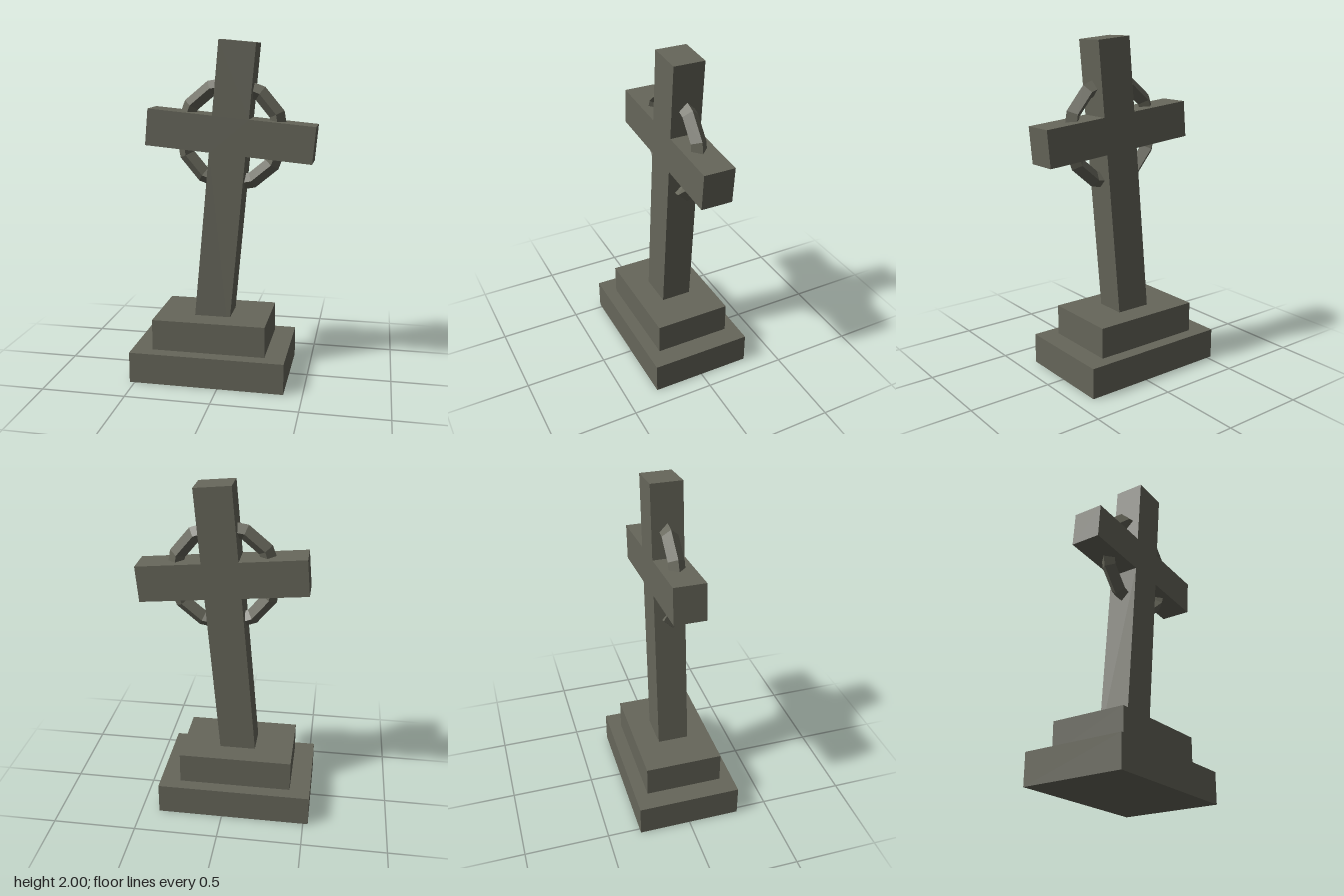
import * as THREE from 'three';

export function createModel() {
  const model = new THREE.Group();
  model.name = 'leaningStoneCross';
  const stone = new THREE.MeshStandardMaterial({ color: 0x66665a, flatShading: true });
  stone.name = 'weathered stone';

  const add = (parent, name, geometry, x = 0, y = 0, z = 0) => {
    const mesh = new THREE.Mesh(geometry, stone);
    mesh.name = name;
    mesh.position.set(x, y, z);
    parent.add(mesh);
    return mesh;
  };

  // Two-step plinth
  const stepHeight = 0.185;
  add(model, 'lowerStep', new THREE.BoxGeometry(0.92, stepHeight, 0.614), -0.07, stepHeight / 2);
  add(model, 'upperStep', new THREE.BoxGeometry(0.675, stepHeight, 0.46), -0.07, stepHeight * 1.5);

  // Leaning cross, pivoted where shaft and arms meet
  const cross = new THREE.Group();
  cross.name = 'cross';
  cross.position.set(0.0285, 1.4575, 0);
  cross.rotation.z = -0.09;
  model.add(cross);

  // Shaft and arms cut from one slab; the foot is sunk into the plinth
  const half = 0.107, reach = 0.49, top = 0.535, foot = -1.2, depth = 0.184;
  const outline = new THREE.Shape([
    [-half, foot], [half, foot], [half, -half], [reach, -half], [reach, half], [half, half],
    [half, top], [-half, top], [-half, half], [-reach, half], [-reach, -half], [-half, -half],
  ].map(([x, y]) => new THREE.Vector2(x, y)));
  const slab = new THREE.ExtrudeGeometry(outline, { depth, bevelEnabled: false });
  add(cross, 'shaftAndArms', slab, 0, 0, -depth / 2);

  // Twelve-sided ring with a diamond section
  add(cross, 'ring', new THREE.TorusGeometry(0.292, 0.047, 4, 12));

  return model;
}
